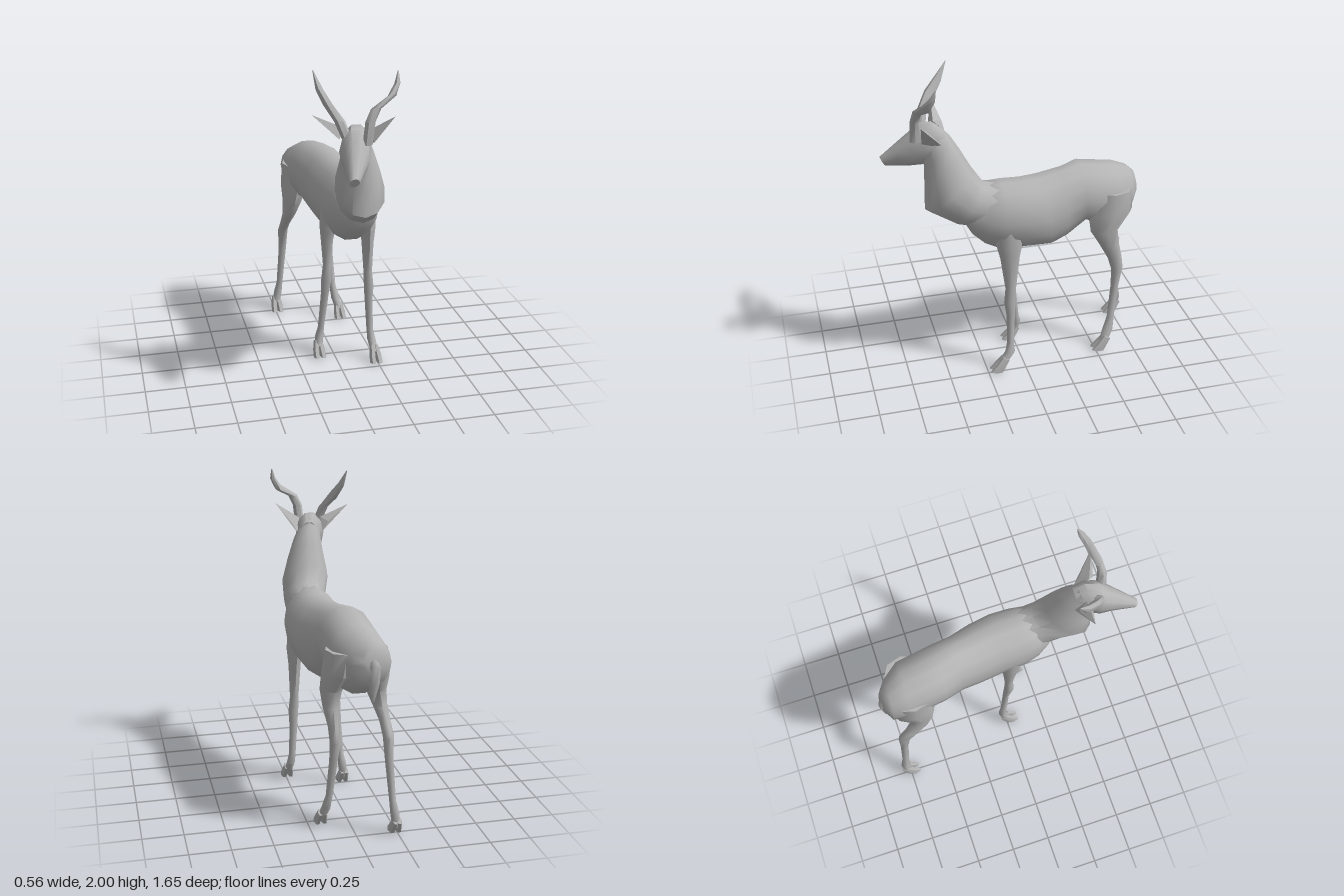
import * as THREE from 'three';
import { toCreasedNormals } from 'three/addons/utils/BufferGeometryUtils.js';
import { ConvexGeometry } from 'three/addons/geometries/ConvexGeometry.js';

const coat = new THREE.MeshStandardMaterial({ color: 0xb4b4b4 });
coat.name = 'grey coat';

// Skin elliptical rings [centre x, yA, zA, yB, zB, half width];
// A and B are the two ends of the ring in the side plane.
function loft(name, rings, sides = 10, crease = 1.0) {
  const pos = [], idx = [], n = rings.length;
  for (const [x, yA, zA, yB, zB, rx] of rings) {
    for (let j = 0; j < sides; j++) {
      const t = (j / sides) * Math.PI * 2, s = Math.sin(t) / 2;
      pos.push(x + rx * Math.cos(t), (yA + yB) / 2 + (yA - yB) * s, (zA + zB) / 2 + (zA - zB) * s);
    }
  }
  for (let i = 0; i < n - 1; i++) {
    for (let j = 0; j < sides; j++) {
      const k = (j + 1) % sides, a = i * sides, b = a + sides;
      idx.push(a + j, a + k, b + k, a + j, b + k, b + j);
    }
  }
  // end caps
  const last = (n - 1) * sides;
  for (let j = 1; j < sides - 1; j++) {
    idx.push(0, j + 1, j, last, last + j, last + j + 1);
  }
  const g = new THREE.BufferGeometry();
  g.setAttribute('position', new THREE.Float32BufferAttribute(pos, 3));
  g.setIndex(idx);
  return part(name, toCreasedNormals(g, crease));
}

function part(name, geometry) {
  const m = new THREE.Mesh(geometry, coat);
  m.name = name;
  return m;
}

// Leg rings run downwards as [x, y, front z, back z, half width]; two toes close the leg
function leg(name, rings, footX, toe) {
  const g = new THREE.Group();
  g.name = name;
  const r = rings.map(([x, y, f, b, w]) => [x, y, f, y, b, w]);
  r.push([footX, 0.07, toe - 0.06, 0.05, toe - 0.11, 0.026]);
  g.add(loft(name + 'Limb', r, 8));
  for (const s of [-1, 1]) {
    g.add(loft(name + 'Toe', [
      [footX + s * 0.012, 0.11, toe - 0.085, 0.08, toe - 0.13, 0.016],
      [footX + s * 0.018, 0.06, toe - 0.045, 0.03, toe - 0.1, 0.021],
      [footX + s * 0.022, 0.012, toe, 0, toe - 0.085, 0.019],
    ], 6));
  }
  return g;
}

function ear(name, points) {
  return part(name, new ConvexGeometry(points.map(p => new THREE.Vector3(...p))));
}

export function createModel() {
  const model = new THREE.Group();
  model.name = 'antelope';

  // Trunk, rump to chest
  model.add(loft('body', [
    [-0.07, 1.19, -0.79, 1.04, -0.815, 0.05],
    [-0.07, 1.23, -0.745, 0.95, -0.77, 0.125],
    [-0.03, 1.285, -0.64, 0.87, -0.66, 0.17],
    [-0.01, 1.33, -0.4, 0.92, -0.43, 0.175],
    [0.03, 1.315, -0.28, 0.84, -0.3, 0.16],
    [0.06, 1.3, -0.12, 0.82, -0.2, 0.178],
    [0.08, 1.3, 0, 0.835, 0, 0.18],
    [0.08, 1.305, 0.12, 0.845, 0.14, 0.175],
    [0.08, 1.3, 0.22, 0.89, 0.23, 0.155],
    [0.09, 1.22, 0.3, 0.97, 0.31, 0.12],
    [0.1, 1.15, 0.36, 1.06, 0.36, 0.06],
  ], 14));

  // Deep neck rising from the chest
  model.add(loft('neck', [
    [0.09, 1.29, 0.12, 1.02, 0.28, 0.13],
    [0.085, 1.31, 0.23, 1.06, 0.42, 0.135],
    [0.055, 1.41, 0.3, 1.155, 0.59, 0.152],
    [0.045, 1.53, 0.365, 1.3, 0.585, 0.12],
    [0.03, 1.62, 0.42, 1.44, 0.58, 0.092],
    [0.01, 1.68, 0.48, 1.52, 0.6, 0.07],
  ], 12));

  // Head tapering to the muzzle
  model.add(loft('head', [
    [0.025, 1.66, 0.45, 1.5, 0.47, 0.06],
    [0.01, 1.705, 0.52, 1.45, 0.52, 0.088],
    [-0.01, 1.695, 0.6, 1.435, 0.58, 0.095],
    [-0.02, 1.63, 0.665, 1.43, 0.65, 0.08],
    [-0.045, 1.555, 0.745, 1.425, 0.73, 0.055],
    [-0.07, 1.475, 0.83, 1.42, 0.8, 0.03],
  ], 10, 0.8));

  // Kinked horns
  model.add(loft('leftHorn', [
    [0.05, 1.61, 0.6, 1.61, 0.665, 0.03],
    [0.065, 1.74, 0.605, 1.74, 0.66, 0.03],
    [0.1, 1.8, 0.595, 1.82, 0.645, 0.03],
    [0.2, 1.85, 0.565, 1.89, 0.61, 0.025],
    [0.24, 1.93, 0.535, 1.94, 0.575, 0.018],
    [0.25, 2, 0.53, 2, 0.534, 0.003],
  ], 6));
  model.add(loft('rightHorn', [
    [-0.05, 1.62, 0.55, 1.62, 0.61, 0.03],
    [-0.095, 1.73, 0.53, 1.74, 0.59, 0.032],
    [-0.15, 1.8, 0.47, 1.84, 0.53, 0.028],
    [-0.185, 1.88, 0.42, 1.91, 0.46, 0.022],
    [-0.21, 1.995, 0.382, 1.995, 0.386, 0.003],
  ], 6));

  // Pointed ears
  model.add(ear('leftEar', [[0.07, 1.67, 0.56], [0.1, 1.61, 0.6], [0.08, 1.56, 0.46], [0.12, 1.64, 0.52], [0.215, 1.76, 0.62]]));
  model.add(ear('rightEar', [[-0.06, 1.68, 0.5], [-0.09, 1.62, 0.53], [-0.06, 1.6, 0.43], [-0.1, 1.66, 0.44], [-0.24, 1.76, 0.48]]));

  // Front legs
  model.add(leg('frontLeftLeg', [
    [0.17, 1.05, 0.2, 0, 0.075],
    [0.195, 0.92, 0.18, 0.01, 0.055],
    [0.2, 0.82, 0.155, 0.03, 0.04],
    [0.205, 0.6, 0.125, 0.055, 0.028],
    [0.21, 0.5, 0.135, 0.06, 0.032],
    [0.212, 0.4, 0.12, 0.065, 0.026],
    [0.22, 0.2, 0.12, 0.075, 0.022],
    [0.23, 0.13, 0.135, 0.07, 0.027],
  ], 0.24, 0.24));
  model.add(leg('frontRightLeg', [
    [-0.02, 1.05, 0.14, -0.04, 0.075],
    [-0.045, 0.92, 0.11, -0.02, 0.055],
    [-0.05, 0.82, 0.08, -0.005, 0.04],
    [-0.05, 0.65, 0.06, 0.005, 0.026],
    [-0.055, 0.54, 0.065, 0, 0.034],
    [-0.06, 0.43, 0.03, -0.01, 0.026],
    [-0.08, 0.2, 0.01, -0.035, 0.021],
    [-0.09, 0.13, 0.005, -0.05, 0.028],
  ], -0.1, 0.085));

  // Hind legs with thigh and hock
  model.add(leg('hindLeftLeg', [
    [0.06, 1.14, -0.48, -0.74, 0.1],
    [0.085, 1.0, -0.45, -0.74, 0.095],
    [0.11, 0.88, -0.46, -0.64, 0.07],
    [0.12, 0.78, -0.52, -0.65, 0.05],
    [0.115, 0.67, -0.58, -0.675, 0.033],
    [0.108, 0.58, -0.61, -0.69, 0.034],
    [0.115, 0.46, -0.61, -0.665, 0.027],
    [0.135, 0.22, -0.585, -0.635, 0.022],
    [0.15, 0.13, -0.55, -0.625, 0.028],
  ], 0.17, -0.47));
  model.add(leg('hindRightLeg', [
    [-0.11, 1.14, -0.48, -0.76, 0.1],
    [-0.13, 1.0, -0.48, -0.77, 0.09],
    [-0.15, 0.88, -0.5, -0.68, 0.065],
    [-0.17, 0.78, -0.55, -0.67, 0.045],
    [-0.185, 0.7, -0.62, -0.72, 0.034],
    [-0.192, 0.62, -0.69, -0.77, 0.034],
    [-0.195, 0.48, -0.715, -0.77, 0.026],
    [-0.215, 0.22, -0.74, -0.785, 0.021],
    [-0.228, 0.13, -0.745, -0.805, 0.028],
  ], -0.24, -0.68));

  // Short hanging tail
  model.add(loft('tail', [
    [-0.08, 1.15, -0.74, 1.1, -0.74, 0.02],
    [-0.08, 1.08, -0.76, 1.13, -0.8, 0.03],
    [-0.085, 1.06, -0.775, 1.09, -0.825, 0.036],
    [-0.085, 0.97, -0.765, 0.97, -0.805, 0.034],
    [-0.085, 0.855, -0.765, 0.855, -0.775, 0.006],
  ].map(([x, yA, zA, yB, zB, w]) => [x, yA, zA, yB, zB, w]), 8));

  return model;
}
